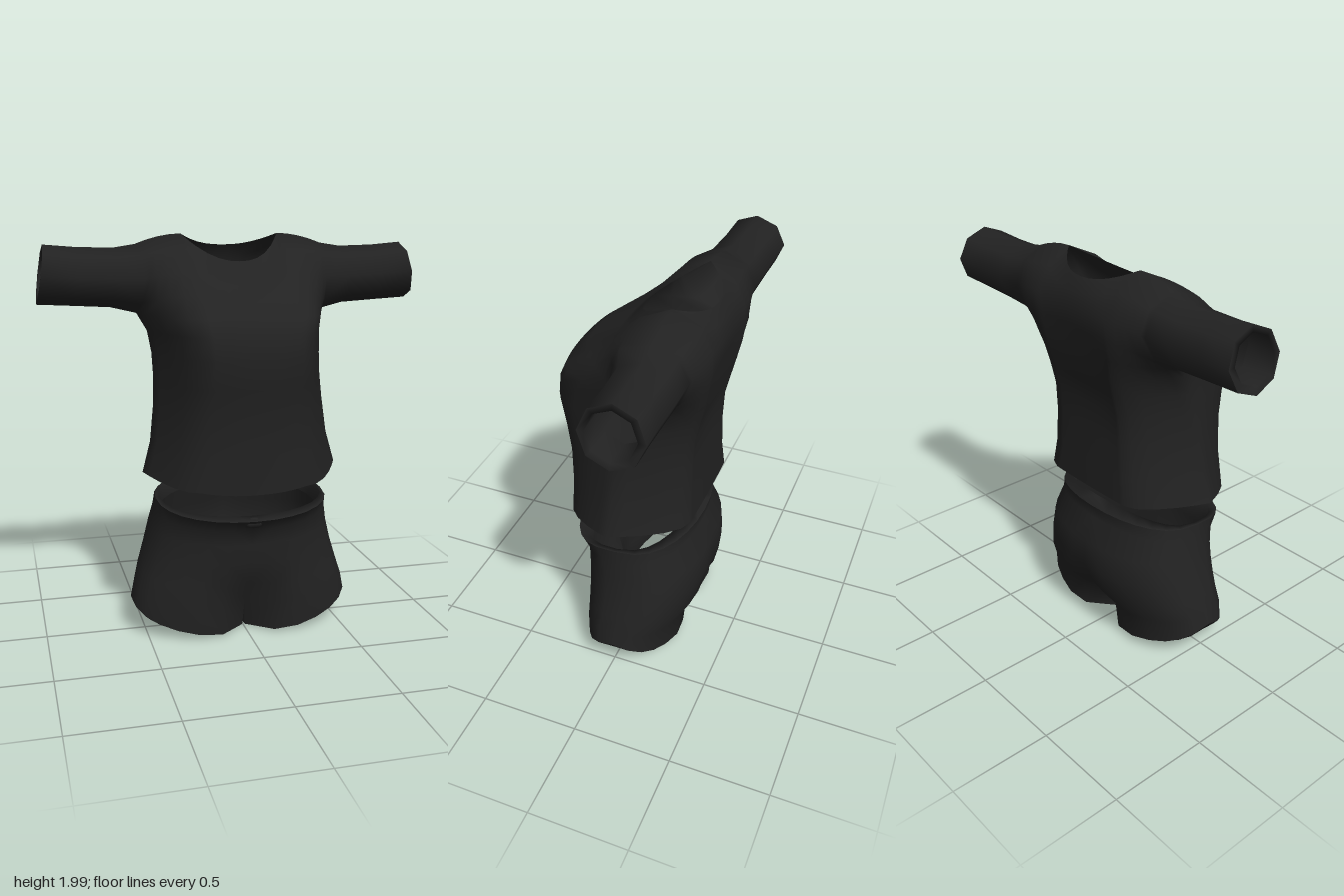
import * as THREE from 'three';
import { mergeVertices } from 'three/addons/utils/BufferGeometryUtils.js';

// Collects grids of points [row][col] and welds them into one smooth surface
class Cloth {
  constructor() { this.pos = []; this.idx = []; }
  grid(rows, flip = false) {
    const base = this.pos.length / 3, n = rows[0].length;
    rows.forEach(r => r.forEach(p => this.pos.push(...p)));
    for (let r = 0; r < rows.length - 1; r++) {
      for (let c = 0; c < n - 1; c++) {
        const a = base + r * n + c, b = a + 1, d = a + n, e = d + 1;
        if (flip) this.idx.push(a, e, b, a, d, e);
        else this.idx.push(a, b, e, a, e, d);
      }
    }
  }
  // Same grid on both sides of the body
  pair(rows, flip = false) {
    this.grid(rows, flip);
    this.grid(rows.map(r => r.map(([x, y, z]) => [-x, y, z])), !flip);
  }
  mesh(name, material) {
    let g = new THREE.BufferGeometry();
    g.setAttribute('position', new THREE.Float32BufferAttribute(this.pos, 3));
    g.setIndex(this.idx);
    g = mergeVertices(g, 1e-4);
    g.computeVertexNormals();
    const m = new THREE.Mesh(g, material);
    m.name = name;
    return m;
  }
}

const lerp = THREE.MathUtils.lerp;

// Shirt rows: half width, then [y, z] at the centre, shoulder line and side
const WIDTHS = [0.5, 0.458, 0.437, 0.43, 0.43, 0.442, 0.48, 0.47, 0.46, 0.47, 0.48];
const SIDE_LOW = [[0.845, 0.03], [1.0, 0.02], [1.18, 0.005], [1.32, -0.02], [1.43, -0.06], [1.53, -0.11], [1.61, -0.2]];
const FRONT = {
  mid: [[0.775, 0.34], [0.97, 0.34], [1.15, 0.345], [1.29, 0.375], [1.43, 0.395], [1.54, 0.38], [1.62, 0.345],
    [1.69, 0.27], [1.76, 0.12], [1.81, 0.07], [1.87, 0.02]],
  shoulder: [[0.795, 0.31], [0.97, 0.31], [1.15, 0.32], [1.29, 0.345], [1.43, 0.375], [1.54, 0.36], [1.62, 0.32],
    [1.72, 0.19], [1.82, 0.06], [1.93, -0.05], [2.0, -0.2]],
  side: [...SIDE_LOW, [1.67, -0.06], [1.79, -0.01], [1.9, -0.05], [1.95, -0.2]],
};
const BACK = {
  mid: [[0.86, -0.32], [1.0, -0.315], [1.18, -0.308], [1.32, -0.308], [1.43, -0.33], [1.53, -0.355], [1.62, -0.365],
    [1.72, -0.383], [1.8, -0.388], [1.88, -0.37], [1.94, -0.33]],
  shoulder: [[0.86, -0.315], [1.0, -0.305], [1.18, -0.303], [1.32, -0.31], [1.43, -0.335], [1.53, -0.358], [1.62, -0.375],
    [1.72, -0.39], [1.82, -0.385], [1.93, -0.33], [2.0, -0.2]],
  side: [...SIDE_LOW, [1.67, -0.31], [1.79, -0.36], [1.9, -0.32], [1.95, -0.2]],
};
const HALF = [0.1, 0.2, 0.3, 0.4, 0.47, 0.52, 0.64, 0.76, 0.87, 0.95, 1];
const COLUMNS = [...HALF.map(s => -s).reverse(), 0, ...HALF];

function sheetPoint(sheet, r, s) {
  const a = Math.abs(s), k = 0.52;
  const [from, to, t] = a <= k
    ? [sheet.mid[r], sheet.shoulder[r], (a / k) ** 2.3]
    : [sheet.shoulder[r], sheet.side[r], ((a - k) / (1 - k)) ** 1.9];
  return [WIDTHS[r] * s, lerp(from[0], to[0], t), lerp(from[1], to[1], t)];
}

// Octagonal sleeve ring, running bottom, front, top, back
function sleeveRing(x, cy, cz, ry, rz, slant) {
  return Array.from({ length: 9 }, (_, k) => {
    const a = (k % 8) * Math.PI / 4;
    return [x + slant * Math.cos(a), cy - ry * Math.cos(a), cz + rz * Math.sin(a)];
  });
}
const transpose = rings => rings[0].map((_, k) => rings.map(r => r[k]));

function makeShirt(material) {
  const shirt = new THREE.Group();
  shirt.name = 'shirt';
  const body = new Cloth();
  const rowsOf = sheet => WIDTHS.map((_, r) => COLUMNS.map(s => sheetPoint(sheet, r, s)));
  const front = rowsOf(FRONT), back = rowsOf(BACK);
  body.grid(front);
  body.grid(back, true);

  // Sleeves grow from the armhole loop
  const armhole = [6, 7, 8, 9, 10].map(r => sheetPoint(FRONT, r, 1))
    .concat([9, 8, 7, 6].map(r => sheetPoint(BACK, r, 1)));
  const end = sleeveRing(0.95, 1.805, -0.22, 0.145, 0.148, 0.02);
  body.pair(transpose([
    armhole,
    sleeveRing(0.6, 1.787, -0.205, 0.146, 0.155, 0.01),
    sleeveRing(0.78, 1.794, -0.213, 0.143, 0.148, 0.012),
    end,
  ]));
  shirt.add(body.mesh('shirtBody', material));

  // Underside closing the hem
  const underside = new Cloth();
  underside.grid([back[0], front[0]]);
  shirt.add(underside.mesh('shirtUnderside', material));

  // Cuff rims turned inward
  const cuffs = new Cloth();
  cuffs.pair(transpose([
    end,
    sleeveRing(0.948, 1.808, -0.218, 0.112, 0.114, 0.016),
    sleeveRing(0.8, 1.8, -0.215, 0.118, 0.12, 0.01),
  ]));
  shirt.add(cuffs.mesh('sleeveCuffs', material));
  return shirt;
}

// Shorts rows, hem to waist: y front, side, back; half width; z front, back; centre dent
const SHORTS = [
  [0.012, 0.178, 0.03, 0.568, 0.245, -0.28, 0.55],
  [0.17, 0.25, 0.18, 0.55, 0.255, -0.29, 0.45],
  [0.28, 0.33, 0.27, 0.525, 0.257, -0.34, 0.12],
  [0.4, 0.44, 0.41, 0.49, 0.262, -0.358, 0],
  [0.5, 0.55, 0.55, 0.462, 0.27, -0.352, 0],
  [0.58, 0.64, 0.67, 0.443, 0.278, -0.295, 0],
  [0.64, 0.7, 0.74, 0.435, 0.335, -0.305, 0],
];
const WAISTBAND = [
  SHORTS[6],
  [0.655, 0.705, 0.785, 0.415, 0.28, -0.265, 0],
  [0.6, 0.62, 0.69, 0.41, 0.255, -0.26, 0],
];
// Leg hem folded in and slightly down, then up as a short lining
const LEG_HEM = [
  SHORTS[0],
  [0.016, 0.13, 0.034, 0.535, 0.22, -0.255, 0.55],
  [0.12, 0.22, 0.13, 0.53, 0.235, -0.265, 0.5],
];

// Half ring from front centre, round the outside, to back centre
function halfRing([yf, ys, yb, w, zf, zb, dent], gap = 0) {
  const n = 14, zc = (zf + zb) / 2, d = (zf - zb) / 2;
  return Array.from({ length: n + 1 }, (_, i) => {
    const a = i / n * Math.PI, sn = i === n ? 0 : Math.sin(a), cs = Math.cos(a);
    const x = w * sn ** 0.95;
    const near = Math.max(0, 1 - x / 0.2) ** 1.5;
    const z = zc + Math.sign(cs) * d * Math.abs(cs) ** 0.75 * (1 - dent * near);
    return [Math.max(x, gap), lerp(ys, cs > 0 ? yf : yb, Math.abs(cs) ** 1.2), z];
  });
}

function makeShorts(material) {
  const shorts = new THREE.Group();
  shorts.name = 'shorts';
  const body = new Cloth();
  const rings = SHORTS.map((row, i) => halfRing(row, i === 0 ? 0.007 : 0));
  body.pair(rings);

  // Inner legs, hanging from a shared crotch line
  const inner = r => {
    const f = rings[r][0], b = rings[r].at(-1);
    return [0, 0.25, 0.5, 0.75, 1].map(t => [
      f[0], lerp(b[1], f[1], t) - (r ? 0.16 : 0.05) * t * (1 - t), lerp(b[2], f[2], t)]);
  };
  body.pair([inner(0), inner(1)]);
  shorts.add(body.mesh('shortsBody', material));

  // Folded hems at the legs
  const hems = new Cloth();
  hems.pair(LEG_HEM.map(row => halfRing(row, 0.007)), true);
  shorts.add(hems.mesh('legHems', material));

  // Waistband folded over to the inside
  const band = new Cloth();
  band.pair(WAISTBAND.map(row => halfRing(row)));
  shorts.add(band.mesh('waistband', material));

  // Small drawstring knot
  const knot = new THREE.Mesh(new THREE.SphereGeometry(1, 6, 4), material);
  knot.name = 'waistKnot';
  knot.scale.set(0.06, 0.028, 0.025);
  knot.position.set(0, 0.625, 0.3);
  shorts.add(knot);
  return shorts;
}

export function createModel() {
  const material = new THREE.MeshStandardMaterial({ color: 0x222222, side: THREE.DoubleSide });
  material.name = 'charcoal cloth';
  const model = new THREE.Group();
  model.name = 'outfit';
  model.add(makeShirt(material), makeShorts(material));
  return model;
}
